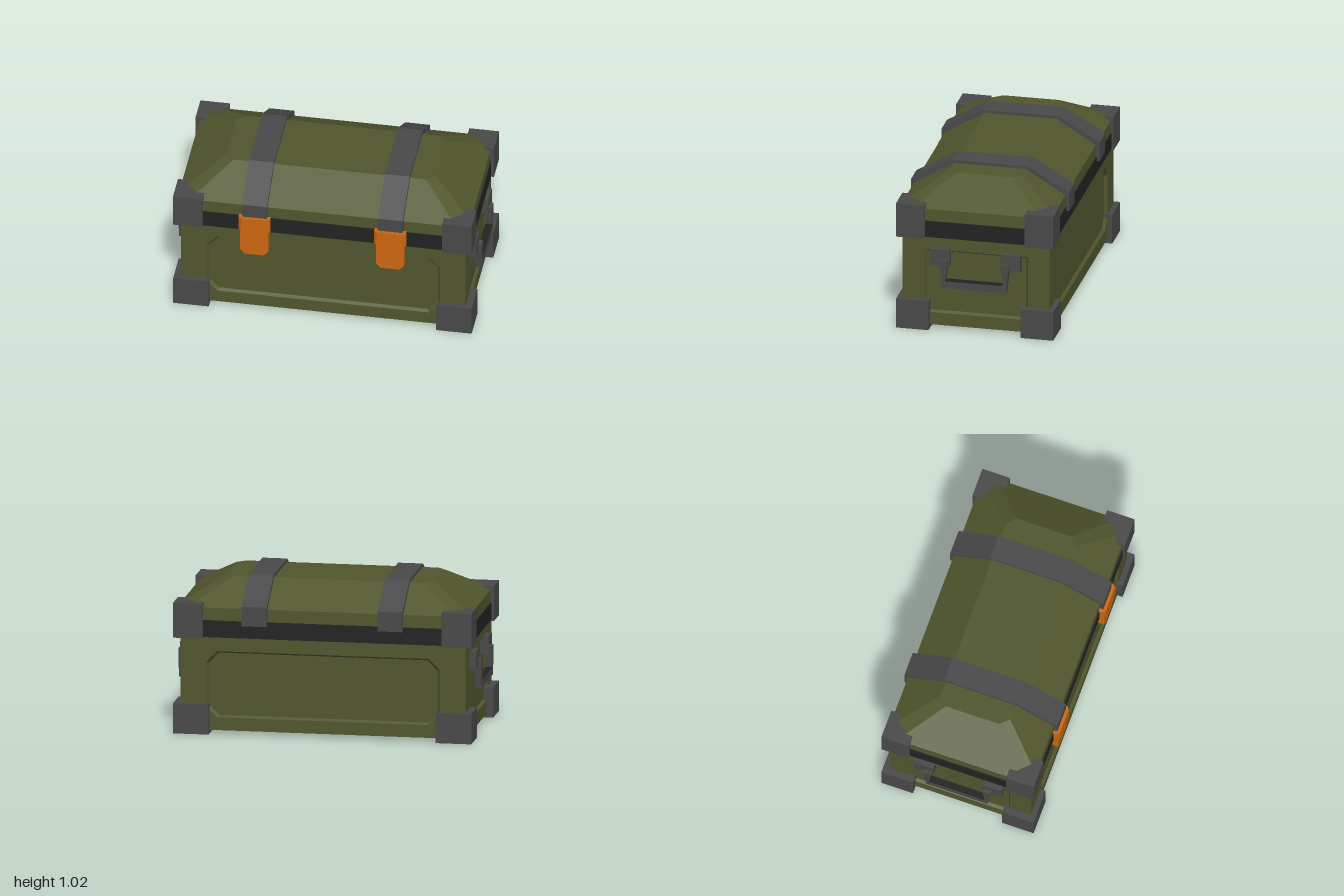
import * as THREE from 'three';

const CZ = -0.01; // depth centre of the case
const make = (name, hex) => {
  const m = new THREE.MeshStandardMaterial({ color: hex, flatShading: true });
  m.name = name;
  return m;
};

// Rectangle with cut corners, counter-clockwise in XY
function cutRect(hx, hy, c, z = 0) {
  const p = c > 0
    ? [[hx, -hy + c], [hx, hy - c], [hx - c, hy], [-hx + c, hy], [-hx, hy - c], [-hx, -hy + c], [-hx + c, -hy], [hx - c, -hy]]
    : [[hx, -hy], [hx, hy], [-hx, hy], [-hx, -hy]];
  return p.map(([x, y]) => new THREE.Vector3(x, y, z));
}

// Joins rings of equal length and closes the last one
function loft(rings) {
  const pts = [];
  const n = rings[0].length;
  for (let r = 0; r + 1 < rings.length; r++) {
    const a = rings[r], b = rings[r + 1];
    for (let i = 0; i < n; i++) {
      const j = (i + 1) % n;
      pts.push(a[i], a[j], b[j], a[i], b[j], b[i]);
    }
  }
  const cap = rings[rings.length - 1];
  for (let i = 1; i + 1 < n; i++) pts.push(cap[0], cap[i], cap[i + 1]);
  const g = new THREE.BufferGeometry().setFromPoints(pts);
  g.computeVertexNormals();
  return g;
}

const shapeOf = (pts) => new THREE.Shape(pts.map(([x, y]) => new THREE.Vector2(x, y)));
const extrude = (shape, depth) => new THREE.ExtrudeGeometry(shape, { depth, bevelEnabled: false });

// Extrudes a (z, y) profile along x, centred on the given x
function sideProfile(pts, width, x) {
  return extrude(shapeOf(pts), width).rotateY(-Math.PI / 2).translate(x + width / 2, 0, CZ);
}

export function createModel() {
  const root = new THREE.Group();
  root.name = 'storageCase';
  const green = make('olive', 0x50552d);
  const grey = make('darkGrey', 0x484848);
  const black = make('black', 0x222222);
  const orange = make('orange', 0xcc660f);

  const add = (name, geo, mat, parent = root) => {
    const m = new THREE.Mesh(geo, mat);
    m.name = name;
    parent.add(m);
    return m;
  };
  const box = (name, mat, x0, x1, y0, y1, z0, z1) =>
    add(name, new THREE.BoxGeometry(x1 - x0, y1 - y0, z1 - z0)
      .translate((x0 + x1) / 2, (y0 + y1) / 2, (z0 + z1) / 2), mat);

  // Body walls, each with a sunken panel
  const y0 = 0.025, y1 = 0.65, panelY = 0.33, panelH = 0.22;
  function wall(name, half, panelHalf, cut, dist, angle) {
    const g = new THREE.Group();
    g.name = name;
    const frame = shapeOf([[-half, y0 - panelY], [half, y0 - panelY], [half, y1 - panelY], [-half, y1 - panelY]]);
    const rim = cutRect(panelHalf, panelH, cut);
    frame.holes.push(new THREE.Path(rim.map((p) => new THREE.Vector2(p.x, p.y))));
    add(name + 'Frame', new THREE.ShapeGeometry(frame), green, g);
    add(name + 'Panel', loft([rim, cutRect(panelHalf - 0.013, panelH - 0.013, cut, -0.02)]), green, g);
    g.position.set(Math.sin(angle) * dist, panelY, CZ + Math.cos(angle) * dist);
    g.rotation.y = angle;
    root.add(g);
  }
  wall('frontWall', 0.94, 0.77, 0.07, 0.49, 0);
  wall('backWall', 0.94, 0.77, 0.07, 0.49, Math.PI);
  wall('leftWall', 0.49, 0.345, 0, 0.94, Math.PI / 2);
  wall('rightWall', 0.49, 0.345, 0, 0.94, -Math.PI / 2);
  add('bodyBottom', new THREE.PlaneGeometry(1.88, 0.98).rotateX(Math.PI / 2).translate(0, y0, CZ), green);

  // Dark seal between body and lid
  box('sealBand', black, -0.967, 0.967, 0.645, 0.757, CZ - 0.51, CZ + 0.51);

  // Lid with sloped sides and cut corners
  add('lid', loft([
    cutRect(0.96, 0.503, 0.08, 0.755),
    cutRect(0.96, 0.503, 0.08, 0.84),
    cutRect(0.69, 0.24, 0.055, 1.0),
  ]).rotateX(-Math.PI / 2).translate(0, 0, CZ), green);

  // Corner guards
  for (const sx of [-1, 1]) {
    for (const sz of [-1, 1]) {
      const corner = (name, xIn, zIn, yLow, yHigh) => {
        const w = 0.985 - xIn, d = 0.525 - zIn;
        add(name, new THREE.BoxGeometry(w, yHigh - yLow, d)
          .translate(sx * (xIn + w / 2), (yLow + yHigh) / 2, CZ + sz * (zIn + d / 2)), grey);
      };
      corner('lowerCorner', 0.75, 0.307, 0, 0.2);
      corner('upperCorner', 0.79, 0.335, 0.637, 0.868);
    }
  }

  for (const s of [-1, 1]) {
    // Strap over the lid
    const x = s * 0.448;
    add('strap', sideProfile([
      [-0.528, 0.73], [0.528, 0.73], [0.528, 0.86], [0.253, 1.02], [-0.253, 1.02], [-0.528, 0.86],
    ], 0.165, x), grey);

    // Latch: tongue with cut lower corners, and a bevelled cap
    add('latchTongue', extrude(shapeOf([
      [-0.093, 0.68], [-0.093, 0.505], [-0.062, 0.47], [0.062, 0.47], [0.093, 0.505], [0.093, 0.68],
    ]), 0.05).translate(x, 0, 0.477), orange);
    add('latchCap', extrude(shapeOf([
      [-0.105, -0.48], [-0.105, -0.52], [-0.085, -0.538], [0.085, -0.538], [0.105, -0.52], [0.105, -0.48],
    ]), 0.102).rotateX(-Math.PI / 2).translate(x, 0.662, 0), orange);

    // Carry handle
    for (const t of [-1, 1]) {
      add('handleBracket', new THREE.BoxGeometry(0.058, 0.115, 0.132)
        .translate(s * 0.947, 0.509, CZ + t * 0.236), grey);
    }
    add('handle', sideProfile([
      [-0.232, 0.505], [-0.213, 0.31], [0.213, 0.31], [0.232, 0.505],
      [0.178, 0.505], [0.192, 0.358], [-0.192, 0.358], [-0.178, 0.505],
    ], 0.048, s * 0.976), grey);
    add('handleGrip', new THREE.BoxGeometry(0.046, 0.004, 0.384).translate(s * 0.976, 0.359, CZ), black);
  }
  return root;
}
